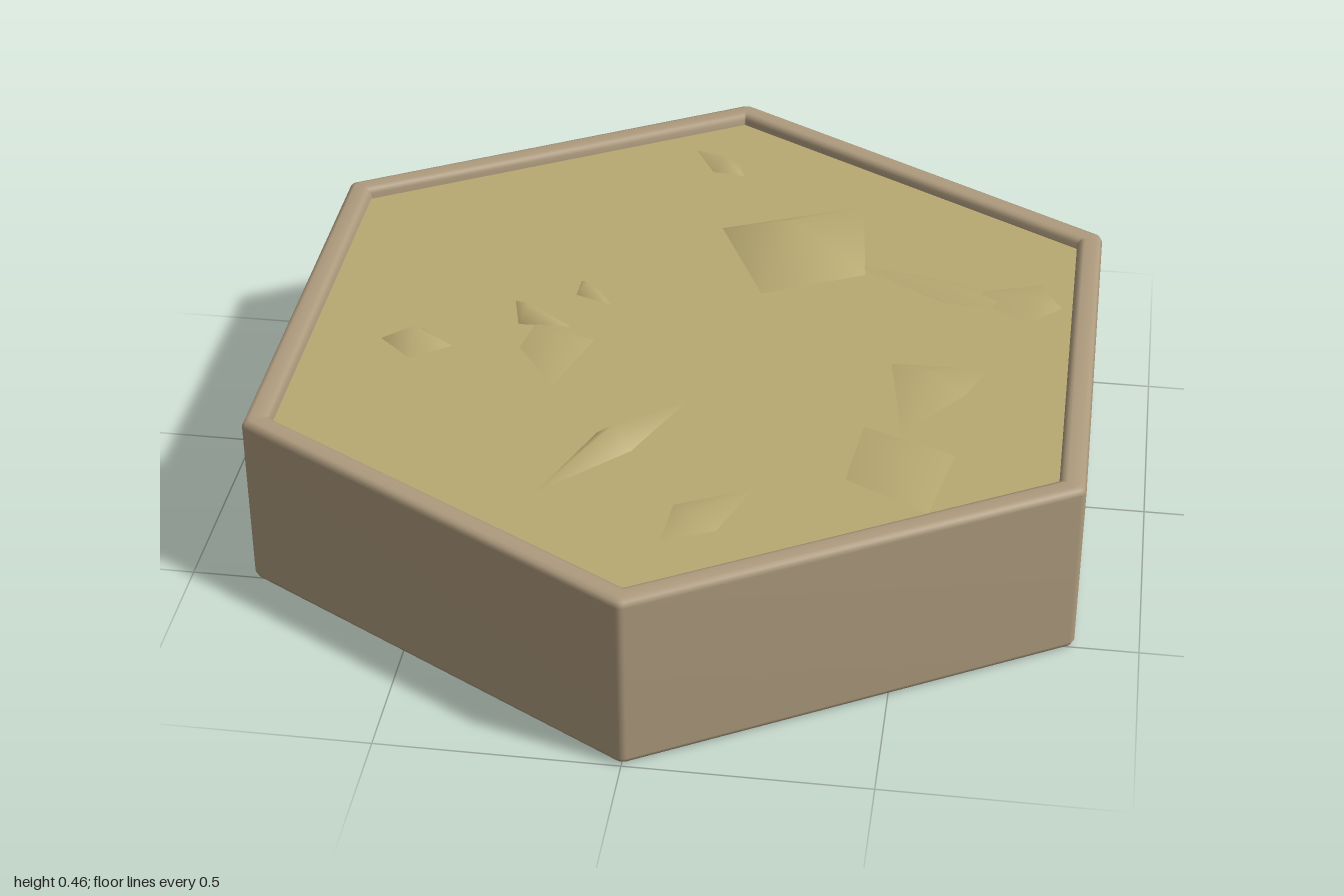
import * as THREE from 'three';

const FLOOR = 0.375;
const stone = new THREE.MeshStandardMaterial({ color: 0xae9b7e });
const sand = new THREE.MeshStandardMaterial({ color: 0xb8a972 });

// Hexagonal ring with rounded corners, tips on +z and -z
function hexRing(apothem, radius, y) {
  const r = Math.min(radius, apothem), reach = (apothem - r) * 2 / Math.sqrt(3), steps = 4, out = [];
  for (let c = 0; c < 6; c++) {
    const a = c * Math.PI / 3;
    for (let s = 0; s <= steps; s++) {
      const b = a + (s / steps - 0.5) * Math.PI / 3;
      out.push(reach * Math.sin(a) + r * Math.sin(b), y, reach * Math.cos(a) + r * Math.cos(b));
    }
  }
  return out;
}

function smooth(positions, index) {
  const g = new THREE.BufferGeometry();
  g.setAttribute('position', new THREE.Float32BufferAttribute(positions, 3));
  g.setIndex(index);
  g.computeVertexNormals();
  return g;
}

// Skin a profile of [apothem, y, cornerRadius] rings
function hexLoft(profile) {
  const positions = profile.flatMap(([a, y, r]) => hexRing(a, r, y));
  const n = 30, index = [];
  for (let i = 0; i < profile.length - 1; i++) {
    for (let j = 0; j < n; j++) {
      const k = (j + 1) % n, a = i * n + j, b = i * n + k;
      index.push(a, b, a + n, b, b + n, a + n);
    }
  }
  return smooth(positions, index);
}

// Rock poking out of the sand: a kite between two tips, as wide as given at its peak
function rockGeometry(peak, tipA, tipB, width) {
  const [px, py, pz] = peak, y = FLOOR - 0.001;
  const dx = tipB[0] - tipA[0], dz = tipB[1] - tipA[1];
  const k = width / 2 / Math.hypot(dx, dz);
  return smooth([
    px, py, pz,
    tipA[0], y, tipA[1],
    px + dz * k, y, pz - dx * k,
    tipB[0], y, tipB[1],
    px - dz * k, y, pz + dx * k,
  ], [0, 2, 1, 0, 3, 2, 0, 4, 3, 0, 1, 4]);
}

// Name, peak, two tips on the floor, width
const rocks = [
  ['boulder', [0.18, 0.455, -0.37], [0.32, -0.59], [0.13, -0.18], 0.38],
  ['boulderTail', [0.55, 0.39, -0.24], [0.3, -0.34], [0.75, -0.18], 0.1],
  ['tailTip', [0.73, 0.398, -0.22], [0.55, -0.24], [0.79, -0.21], 0.17],
  ['sideRock', [0.52, 0.395, 0.11], [0.65, 0.05], [0.48, 0.33], 0.2],
  ['cornerRock', [0.49, 0.404, 0.44], [0.4, 0.3], [0.56, 0.6], 0.25],
  ['ridge', [-0.1, 0.418, 0.43], [-0.23, 0.63], [0.03, 0.26], 0.1],
  ['frontRock', [0.1, 0.392, 0.67], [0.04, 0.76], [0.21, 0.55], 0.13],
  ['pebble', [-0.58, 0.42, 0.12], [-0.66, 0.11], [-0.5, 0.12], 0.12],
  ['shard', [-0.36, 0.416, -0.01], [-0.4, -0.08], [-0.26, 0.01], 0.06],
  ['middleRock', [-0.28, 0.394, 0.08], [-0.34, 0], [-0.26, 0.25], 0.17],
  ['smallShard', [-0.25, 0.4, -0.14], [-0.27, -0.18], [-0.19, -0.09], 0.06],
  ['backShard', [-0.02, 0.402, -0.73], [-0.1, -0.8], [0.03, -0.69], 0.08],
];

export function createModel() {
  const group = new THREE.Group();
  group.name = 'hexTile';
  const add = (name, geometry, material) => {
    const mesh = new THREE.Mesh(geometry, material);
    mesh.name = name;
    group.add(mesh);
  };

  // Stone tray: underside, softened outer wall, rim and inner wall
  add('tray', hexLoft([
    [0, 0, 0.02], [0.851, 0, 0.02], [0.861, 0.004, 0.02], [0.866, 0.015, 0.02],
    [0.866, 0.385, 0.02], [0.861, 0.396, 0.02], [0.851, 0.4, 0.02],
    [0.827, 0.4, 0.006], [0.818, 0.397, 0.005], [0.812, 0.388, 0.004], [0.81, FLOOR - 0.01, 0.004],
  ]), stone);

  // Sand filling the tray
  add('sandFloor', hexLoft([[0.811, FLOOR, 0.004], [0, FLOOR, 0]]), sand);

  // Rocks breaking through the sand
  for (const [name, ...shape] of rocks) add(name, rockGeometry(...shape), sand);
  return group;
}
